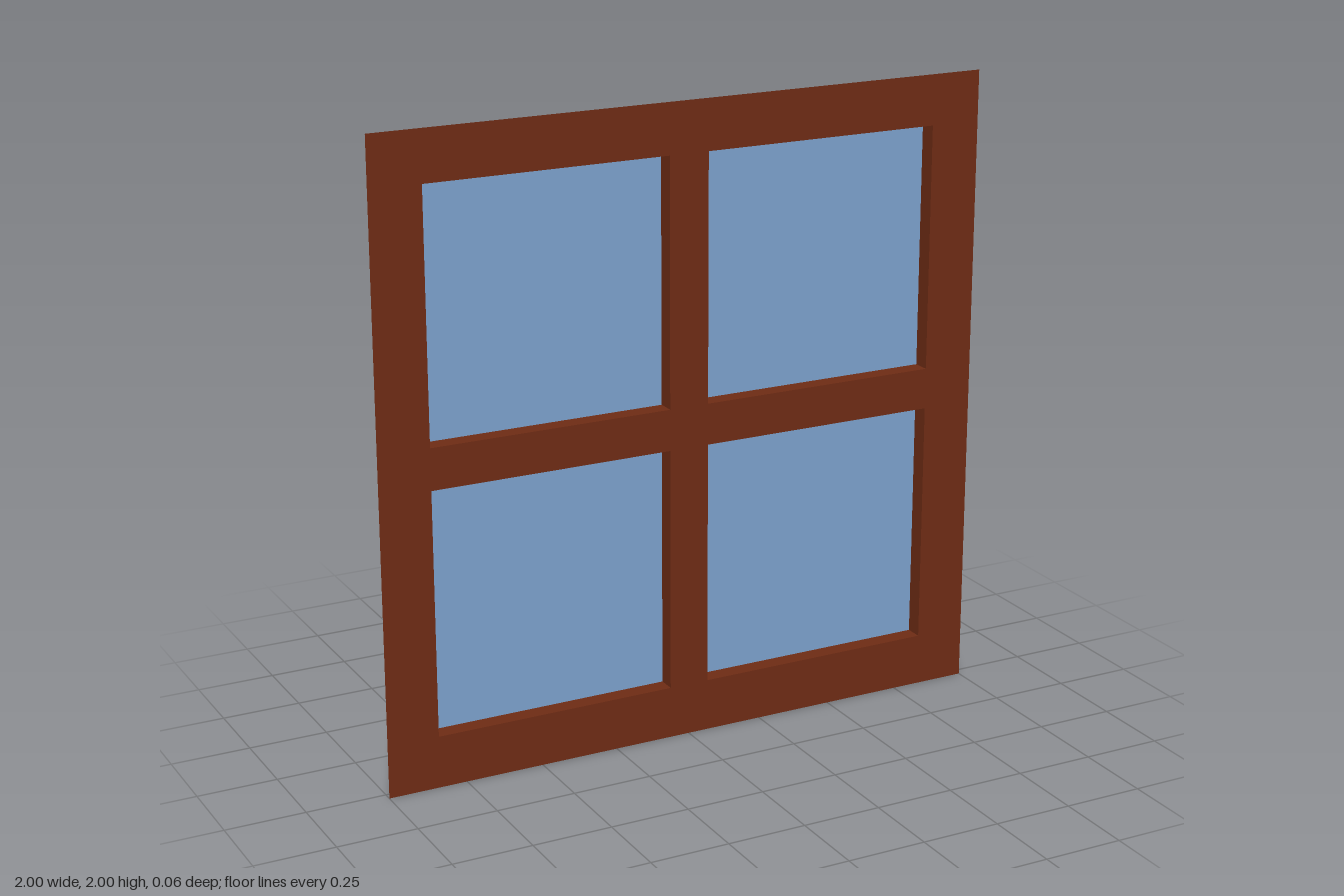
import * as THREE from 'three';

const FRONT = 0.028; // plane of the frame sheet
const BACK = -0.028; // plane of the glass
const columns = [[-0.837, -0.063], [0.065, 0.838]];
const rows = [[0.165, 0.938], [1.068, 1.842]];

const wood = new THREE.MeshStandardMaterial({ color: 0x6e2b14, side: THREE.DoubleSide });
const glass = new THREE.MeshStandardMaterial({ color: 0x7ba0cb, side: THREE.DoubleSide });

function addPlane(group, name, material, w, h, x, y, z, rx = 0, ry = 0) {
  const mesh = new THREE.Mesh(new THREE.PlaneGeometry(w, h), material);
  mesh.name = name;
  mesh.position.set(x, y, z);
  mesh.rotation.set(rx, ry, 0);
  group.add(mesh);
}

// One glazed opening: four reveal walls reaching back to the glass
function createPane([x0, x1], [y0, y1]) {
  const pane = new THREE.Group();
  pane.name = 'windowPane';
  const w = x1 - x0, h = y1 - y0, d = FRONT - BACK;
  const cx = (x0 + x1) / 2, cy = (y0 + y1) / 2, cz = (FRONT + BACK) / 2;
  addPlane(pane, 'glass', glass, w, h, cx, cy, BACK);
  addPlane(pane, 'rightReveal', wood, d, h, x0, cy, cz, 0, -Math.PI / 2);
  addPlane(pane, 'leftReveal', wood, d, h, x1, cy, cz, 0, Math.PI / 2);
  addPlane(pane, 'bottomReveal', wood, w, d, cx, y0, cz, Math.PI / 2);
  addPlane(pane, 'topReveal', wood, w, d, cx, y1, cz, -Math.PI / 2);
  return pane;
}

export function createModel() {
  const model = new THREE.Group();
  model.name = 'window';

  // Thin frame sheet with four openings
  const sheet = new THREE.Shape();
  sheet.moveTo(-1, 0).lineTo(1, 0).lineTo(1, 2).lineTo(-1, 2).closePath();
  for (const [x0, x1] of columns) {
    for (const [y0, y1] of rows) {
      const hole = new THREE.Path();
      hole.moveTo(x0, y0).lineTo(x0, y1).lineTo(x1, y1).lineTo(x1, y0).closePath();
      sheet.holes.push(hole);
      model.add(createPane([x0, x1], [y0, y1]));
    }
  }
  const frame = new THREE.Mesh(new THREE.ShapeGeometry(sheet), wood);
  frame.name = 'frame';
  frame.position.z = FRONT;
  model.add(frame);
  return model;
}
